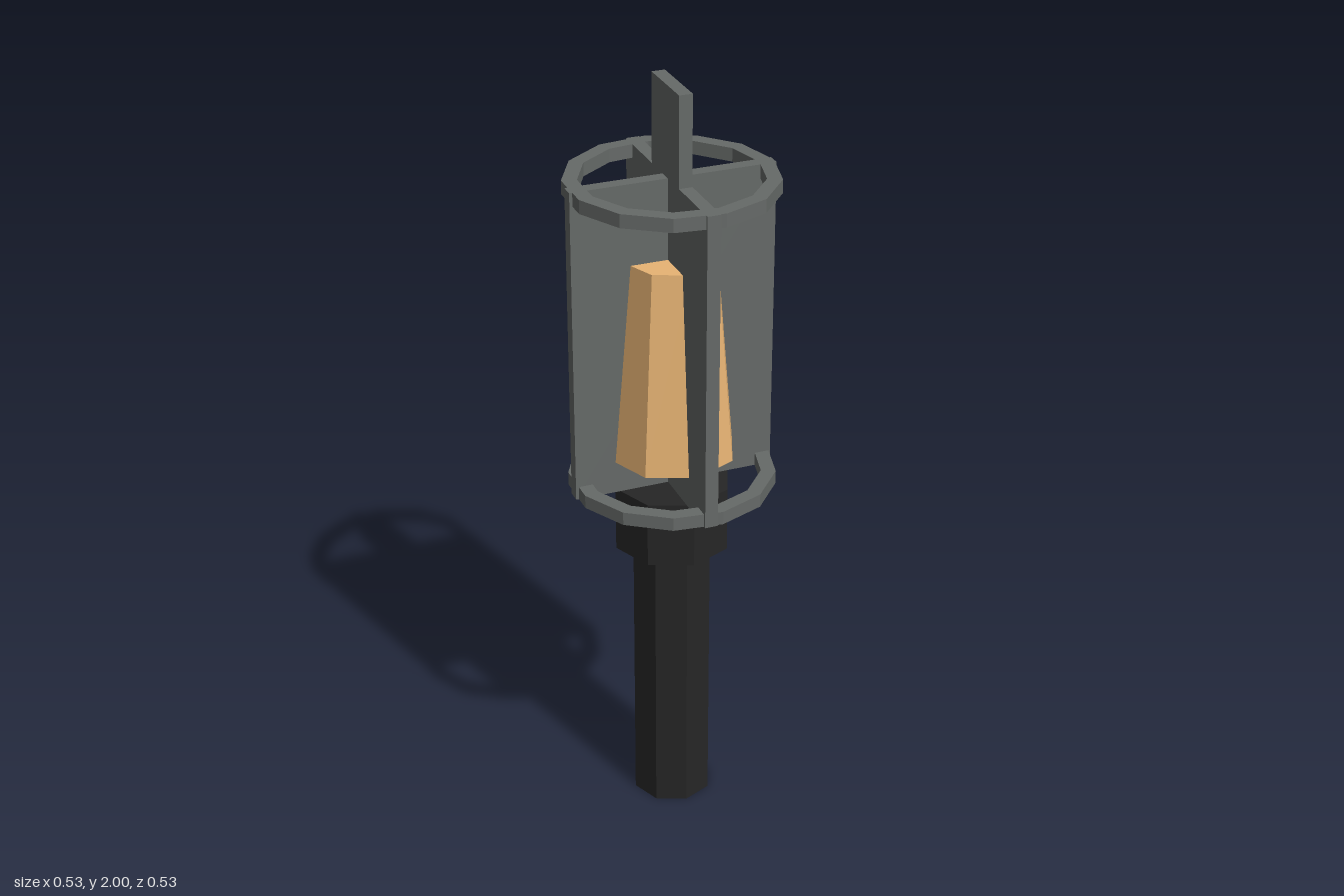
import * as THREE from 'three';

const metal = new THREE.MeshStandardMaterial({ color: 0x666a68, flatShading: true });
const dark = new THREE.MeshStandardMaterial({ color: 0x262626, flatShading: true });
const wax = new THREE.MeshStandardMaterial({ color: 0xe8b474, flatShading: true });

const BOTTOM = 0.945, TOP = 1.77, RING_H = 0.035, THICK = 0.034, SPAN = 0.528;

export function createModel() {
  const group = new THREE.Group();

  const add = (name, geometry, material, y) => {
    const mesh = new THREE.Mesh(geometry, material);
    mesh.name = name;
    mesh.position.y = y;
    group.add(mesh);
  };

  // Upright eight-sided prism or taper, standing between two heights
  const prism = (name, rTop, rBottom, y0, y1, material) =>
    add(name, new THREE.CylinderGeometry(rTop, rBottom, y1 - y0, 8), material, (y0 + y1) / 2);

  const polygon = (radius, sides) => Array.from({ length: sides }, (_, i) => {
    const a = (i / sides) * Math.PI * 2;
    return new THREE.Vector2(radius * Math.cos(a), radius * Math.sin(a));
  });

  // Handle, collar and glowing core
  prism('handle', 0.106, 0.106, 0, 0.77, dark);
  prism('collar', 0.153, 0.153, 0.77, BOTTOM, dark);
  prism('glowingCore', 0.12, 0.165, 1.03, 1.56, wax);

  // Flat thirteen-sided rings at both ends of the cage
  const ringShape = new THREE.Shape(polygon(0.264, 13));
  ringShape.holes.push(new THREE.Path(polygon(0.226, 13)));
  const ring = new THREE.ExtrudeGeometry(ringShape, { depth: RING_H, bevelEnabled: false });
  ring.rotateX(-Math.PI / 2);
  add('lowerRing', ring, metal, BOTTOM);
  add('upperRing', ring, metal, TOP - RING_H);

  // Two crossed full-height plates
  const height = TOP - BOTTOM, mid = (TOP + BOTTOM) / 2;
  add('sidePlate', new THREE.BoxGeometry(SPAN, height, THICK), metal, mid);
  add('frontPlate', new THREE.BoxGeometry(THICK, height, SPAN), metal, mid);

  // Tab standing on the crossing
  add('topTab', new THREE.BoxGeometry(THICK, 2 - TOP, 0.176), metal, (2 + TOP) / 2);

  return group;
}
